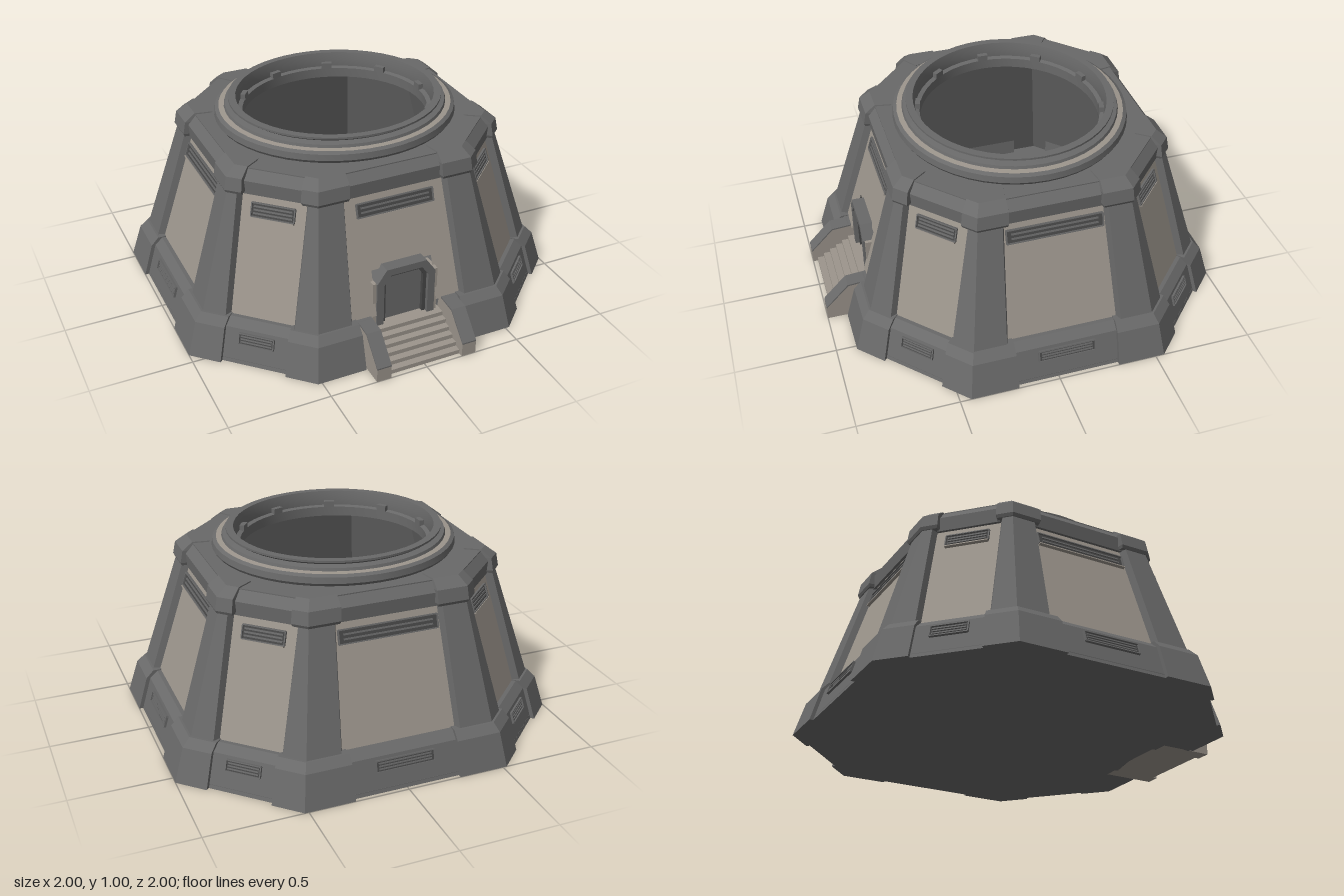
import * as THREE from 'three';
import { toCreasedNormals } from 'three/addons/utils/BufferGeometryUtils.js';

const mat = (name, color) => Object.assign(new THREE.MeshStandardMaterial({ color }), { name });
const metal = mat('grey metal', 0x696969);
const panel = mat('beige panel', 0x9c958c);
const dark = mat('dark vent', 0x474747);

const SQ = Math.SQRT1_2;
const cornerOf = (a) => 0.07 + 0.45 * a;            // half length of a main side
const diagOf = (a) => 1.025 * a + 0.05;             // apothem of a diagonal side
const wallA = (y) => 0.934 - 0.313 * y;             // sloped wall apothem

function add(parent, name, geo, material) {
  const m = new THREE.Mesh(geo, material);
  m.name = name;
  parent.add(m);
  return m;
}

function fromTriangles(pts) {
  const g = new THREE.BufferGeometry();
  g.setAttribute('position', new THREE.Float32BufferAttribute(pts.flat(), 3));
  g.computeVertexNormals();
  return g;
}
const quad = (a, b, c, d) => fromTriangles([a, b, c, a, c, d]);

// Closed flat-sided solid through stacked convex sections
function loft(sections) {
  const t = [], n = sections[0].length, last = sections.length - 1;
  for (let s = 0; s < last; s++) {
    const lo = sections[s], hi = sections[s + 1];
    for (let i = 0; i < n; i++) {
      const j = (i + 1) % n;
      t.push(lo[i], lo[j], hi[j], lo[i], hi[j], hi[i]);
    }
  }
  for (let i = 1; i < n - 1; i++) {
    t.push(sections[last][0], sections[last][i], sections[last][i + 1]);
    t.push(sections[0][0], sections[0][i + 1], sections[0][i]);
  }
  return fromTriangles(t);
}

// Profile of [z, y] points swept along x
function prism(profile, x0, x1) {
  const shape = new THREE.Shape(profile.map(([r, y]) => new THREE.Vector2(r, y)));
  const g = new THREE.ExtrudeGeometry(shape, { depth: x1 - x0, bevelEnabled: false });
  return g.rotateY(-Math.PI / 2).translate(x1, 0, 0);
}

function octagon(a) {
  const b = cornerOf(a);
  return new THREE.Shape([[b, a], [-b, a], [-a, b], [-a, -b], [-b, -a], [b, -a], [a, -b], [a, b]]
    .map(([x, y]) => new THREE.Vector2(x, y)));
}
const slab = (shape, depth, y) =>
  new THREE.ExtrudeGeometry(shape, { depth, bevelEnabled: false, curveSegments: 32 }).rotateX(-Math.PI / 2).translate(0, y, 0);

// Pillar section that wraps one corner: w on the main side, d on the diagonal side
function pillarSection([y, a, w, d], chamfer, inset, mirror) {
  const b = cornerOf(a), m = (a + b) / 2;
  const diag = (s, t) => [m - (s + t) * SQ, y, m + (s - t) * SQ];
  const pts = [[w, y, a - inset], [w + chamfer, y, a], [b, y, a], diag(d + chamfer, 0), diag(d, inset)];
  return mirror ? pts.reverse().map(([x, yy, z]) => [-x, yy, z]) : pts;
}

// Slatted opening with a rim and a light sill
function vent(parent, name, w, h, y, r, tilt, slats, sill) {
  const g = new THREE.Group();
  g.name = name;
  g.position.set(0, y, r);
  g.rotation.x = -tilt;
  const box = (n, bw, bh, bd, x, by, m) => add(g, n, new THREE.BoxGeometry(bw, bh, bd).translate(x, by, bd / 2), m);
  box('ventBack', w, h, 0.004, 0, 0, dark);
  for (const s of [-1, 1]) {
    box('ventRim', w, 0.006, 0.012, 0, s * h / 2, metal);
    box('ventRim', 0.006, h, 0.012, s * w / 2, 0, metal);
  }
  for (let i = 1; i <= slats; i++) box('ventSlat', w * 0.9, h * 0.12, 0.009, 0, h * (i / (slats + 1) - 0.5), metal);
  if (sill) box('ventSill', w, 0.006, 0.016, 0, -h / 2 - 0.005, panel);
  parent.add(g);
}

function archShape(w, y0, y1, c) {
  return [[-w, y0], [w, y0], [w, y1 - c], [w - c * 0.7, y1], [-w + c * 0.7, y1], [-w, y1 - c]].map(([x, y]) => new THREE.Vector2(x, y));
}

export function createModel() {
  const model = new THREE.Group();
  model.name = 'bunker';
  const body = new THREE.Group();
  body.name = 'octagonalBody';
  body.scale.z = 0.95;
  body.position.z = -0.05;
  model.add(body);

  // Floor and roof
  add(body, 'floorSlab', slab(octagon(0.975), 0.02, 0), metal);
  const roof = octagon(0.67);
  roof.holes.push(new THREE.Path().absarc(0, 0, 0.48, 0, Math.PI * 2, true));
  add(body, 'roof', slab(roof, 0.03, 0.87), metal);

  // Eight sides
  for (let k = 0; k < 8; k++) {
    const side = new THREE.Group();
    side.name = 'side' + k;
    side.rotation.y = k * Math.PI / 4;
    body.add(side);
    const isDiag = k % 2 === 1;
    const R = isDiag ? diagOf : (a) => a;
    const hw = isDiag ? 0.175 : 0.3;
    const wall = (x0, x1, y0, y1) => add(side, 'wallPanel',
      quad([x0, y0, R(wallA(y0))], [x1, y0, R(wallA(y0))], [x1, y1, R(wallA(y1))], [x0, y1, R(wallA(y1))]), panel);
    const base = [[R(0.98), 0], [R(0.93), 0.17], [R(0.89), 0.205], [R(0.8), 0.205], [R(0.8), 0]];

    if (k === 0) {
      // The front side leaves a doorway
      wall(-hw, -0.16, 0.2, 0.42);
      wall(0.16, hw, 0.2, 0.42);
      wall(-hw, hw, 0.42, 0.79);
      add(side, 'baseSkirt', prism(base, -0.3, -0.2), metal);
      add(side, 'baseSkirt', prism(base, 0.2, 0.3), metal);
    } else {
      wall(-hw, hw, 0.2, 0.79);
      add(side, 'baseSkirt', prism(base, -hw, hw), metal);
      vent(side, 'baseVent', isDiag ? 0.18 : 0.3, 0.055, 0.125, R(0.98 - 0.05 * 0.125 / 0.17), 0.29, 3, false);
    }
    add(side, 'upperBand', prism([[R(0.705), 0.78], [R(0.71), 0.85], [R(0.665), 0.9], [R(0.62), 0.895], [R(0.62), 0.78]], -hw * 0.93, hw * 0.93), metal);
    const w = isDiag ? 0.22 : k === 0 ? 0.4 : 0.5;
    vent(side, 'window', w, 0.068, 0.708, R(wallA(0.708)), 0.303, isDiag ? 3 : 2, true);

    // Inner lining, facing inwards
    const half = (a) => (isDiag ? (a - cornerOf(a)) * SQ : cornerOf(a));
    const rad = (a) => (isDiag ? (a + cornerOf(a)) * SQ : a);
    const lo = wallA(0.02) - 0.1, hi = wallA(0.87) - 0.1;
    add(side, 'innerWall', quad([half(lo), 0.02, rad(lo)], [-half(lo), 0.02, rad(lo)],
      [-half(hi), 0.87, rad(hi)], [half(hi), 0.87, rad(hi)]), metal);
  }

  // Eight corner pillars, each with foot, shaft and cap
  const parts = [
    ['pillarFoot', 0, 0.1, [[0, 1, 0.27, 0.17], [0.17, 0.95, 0.27, 0.165], [0.21, 0.912, 0.27, 0.16]]],
    ['pillarShaft', 0.03, 0.07, [[0.2, 0.905, 0.275, 0.15], [0.8, 0.72, 0.24, 0.15]]],
    ['pillarCap', 0.015, 0.09, [[0.785, 0.73, 0.232, 0.14], [0.8, 0.737, 0.228, 0.135], [0.865, 0.725, 0.225, 0.135], [0.906, 0.672, 0.225, 0.13]]],
  ];
  for (let k = 0; k < 4; k++) {
    for (const mirror of [false, true]) {
      for (const [name, chamfer, inset, sections] of parts) {
        const p = add(body, name, loft(sections.map((s) => pillarSection(s, chamfer, inset, mirror))), metal);
        p.rotation.y = k * Math.PI / 2;
      }
    }
  }

  // Round hatch collar on the roof
  const lathe = (name, pts, m) => add(body, name, toCreasedNormals(
    new THREE.LatheGeometry(pts.map(([r, y]) => new THREE.Vector2(r, y)), 48), 0.5), m);
  lathe('collarBase', [[0.605, 0.9], [0.615, 0.915], [0.61, 0.945], [0.592, 0.955]], metal);
  lathe('collarStripe', [[0.592, 0.955], [0.565, 0.958]], panel);
  lathe('collarRim', [[0.565, 0.958], [0.56, 0.972], [0.525, 0.978], [0.542, 0.99], [0.542, 1], [0.505, 1],
    [0.495, 0.96], [0.495, 0.925], [0.472, 0.92], [0.472, 0.87]], metal);
  for (let i = 0; i < 10; i++) {
    const a = i * Math.PI / 5 + Math.PI / 2;
    const clip = add(body, 'rimClip', new THREE.BoxGeometry(0.055, 0.03, 0.03), metal);
    clip.position.set(Math.sin(a) * 0.483, 0.935, Math.cos(a) * 0.483);
    clip.rotation.y = a;
  }

  // Door, its arch and cheeks
  const arch = new THREE.Shape(archShape(0.155, 0.12, 0.44, 0.07));
  arch.holes.push(new THREE.Path(archShape(0.118, 0.125, 0.405, 0.05).reverse()));
  add(model, 'doorArch', new THREE.ExtrudeGeometry(arch, { depth: 0.12, bevelEnabled: false }).translate(0, 0, 0.65), metal);
  const trim = new THREE.Shape(archShape(0.12, 0.12, 0.41, 0.05));
  trim.holes.push(new THREE.Path(archShape(0.1, 0.125, 0.385, 0.035).reverse()));
  add(model, 'doorTrim', new THREE.ExtrudeGeometry(trim, { depth: 0.05, bevelEnabled: false }).translate(0, 0, 0.7), dark);
  add(model, 'door', new THREE.BoxGeometry(0.22, 0.28, 0.02).translate(0, 0.26, 0.72), metal);

  // Entrance steps and sloped curbs
  for (const s of [-1, 1]) {
    add(model, 'doorCheek', new THREE.BoxGeometry(0.02, 0.25, 0.1).translate(s * 0.163, 0.245, 0.71), panel);
    const x = s * 0.2275;
    add(model, 'stepCurb', prism([[1, 0], [1, 0.068], [0.88, 0.19], [0.76, 0.2], [0.72, 0]], x - 0.0375, x + 0.0375), panel);
    add(model, 'curbTop', prism([[1, 0.068], [1, 0.075], [0.882, 0.198], [0.76, 0.207], [0.76, 0.2], [0.88, 0.19]], x - 0.0375, x + 0.0375), metal);
  }
  for (let i = 0; i < 6; i++) {
    const front = 0.975 - i * 0.035, h = 0.022 * (i + 1);
    add(model, 'step', new THREE.BoxGeometry(0.38, h, front - 0.7).translate(0, h / 2, (front + 0.7) / 2), panel);
  }
  return model;
}
